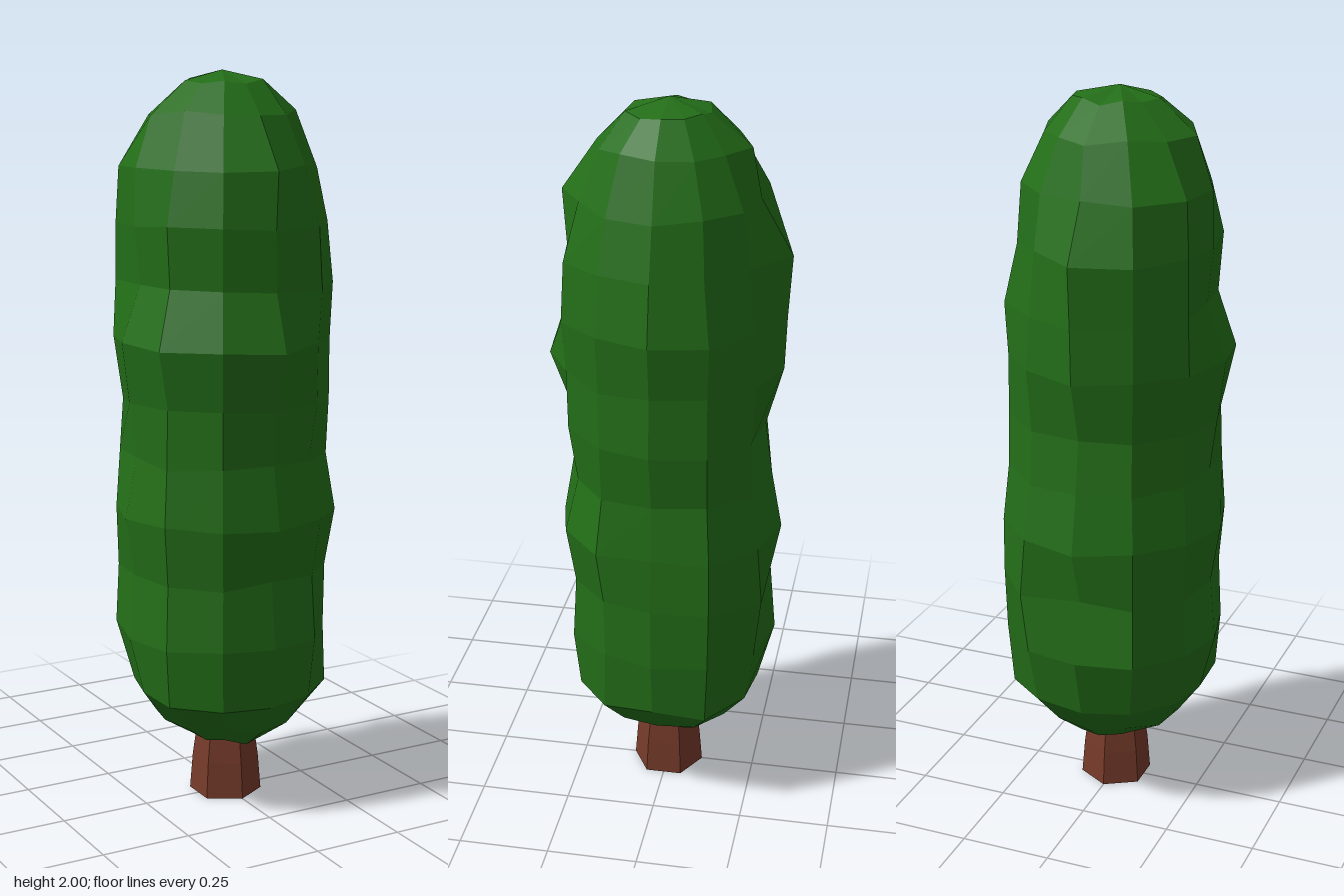
import * as THREE from 'three';

const SIDES = 12;

// Foliage rings from bottom to top: [y, then reach every 45 degrees from +z through +x, -z and -x]
const RINGS = [
  [0.175, 0.12, 0.10, 0.10, 0.12, 0.13, 0.10, 0.10, 0.10],
  [0.235, 0.205, 0.20, 0.19, 0.21, 0.20, 0.19, 0.19, 0.18],
  [0.32, 0.255, 0.27, 0.255, 0.285, 0.26, 0.26, 0.255, 0.28],
  [0.49, 0.275, 0.28, 0.28, 0.30, 0.305, 0.305, 0.295, 0.30],
  [0.66, 0.255, 0.28, 0.28, 0.32, 0.265, 0.305, 0.28, 0.285],
  [0.82, 0.295, 0.305, 0.27, 0.305, 0.315, 0.30, 0.305, 0.305],
  [0.98, 0.265, 0.265, 0.26, 0.295, 0.285, 0.28, 0.27, 0.295],
  [1.13, 0.265, 0.29, 0.295, 0.285, 0.265, 0.285, 0.29, 0.295],
  [1.29, 0.325, 0.285, 0.285, 0.29, 0.31, 0.30, 0.31, 0.33],
  [1.44, 0.275, 0.295, 0.305, 0.29, 0.315, 0.295, 0.255, 0.285],
  [1.6, 0.27, 0.28, 0.275, 0.27, 0.325, 0.285, 0.27, 0.28],
  [1.75, 0.28, 0.24, 0.235, 0.25, 0.24, 0.28, 0.265, 0.245],
  [1.89, 0.185, 0.19, 0.19, 0.18, 0.215, 0.20, 0.22, 0.195],
  [1.97, 0.11, 0.11, 0.11, 0.11, 0.11, 0.11, 0.12, 0.115],
];

function seeded(seed) {
  return () => {
    seed = (seed * 16807) % 2147483647;
    return seed / 2147483647;
  };
}

// Twelve points per ring: three on each quarter, the two between the axes slightly jittered
function ringPoints([y, ...reach], random) {
  const spread = y > 0.3 && y < 1.8 ? 0.02 : 0.01;
  return Array.from({ length: SIDES }, (_, j) => {
    const angle = (j / SIDES) * Math.PI * 2;
    const quarter = Math.floor(j / 3);
    const onAxis = j % 3 === 0;
    const r = reach[quarter * 2 + (onAxis ? 0 : 1)] + (onAxis ? 0 : (random() - 0.5) * spread);
    const lift = (random() - 0.5) * 0.015;
    return new THREE.Vector3(Math.sin(angle) * r, y + lift, Math.cos(angle) * r);
  });
}

// Lumpy closed column whose four-cornered facets are each shaded as one flat face
function foliageGeometry() {
  const random = seeded(41);
  const rings = RINGS.map((ring) => ringPoints(ring, random));
  const apex = new THREE.Vector3(-0.01, 2, 0);
  const base = new THREE.Vector3(0, 0.19, 0);
  const positions = [];
  const normals = [];

  // Corners run counter-clockwise; the crossed diagonals give the facet's average normal
  const facet = (a, b, c, d) => {
    const normal = c.clone().sub(a).cross(d.clone().sub(b)).normalize();
    const corners = c === d ? [a, b, c] : [a, b, c, a, c, d];
    for (const p of corners) {
      positions.push(p.x, p.y, p.z);
      normals.push(normal.x, normal.y, normal.z);
    }
  };

  const first = rings[0];
  const last = rings[rings.length - 1];
  for (let j = 0; j < SIDES; j++) {
    const k = (j + 1) % SIDES;
    for (let i = 0; i < rings.length - 1; i++) {
      facet(rings[i][j], rings[i][k], rings[i + 1][k], rings[i + 1][j]);
    }
    facet(last[j], last[k], apex, apex);
    facet(first[k], first[j], base, base);
  }
  const geometry = new THREE.BufferGeometry();
  geometry.setAttribute('position', new THREE.Float32BufferAttribute(positions, 3));
  geometry.setAttribute('normal', new THREE.Float32BufferAttribute(normals, 3));
  return geometry;
}

// Six-sided trunk, flared towards the ground
function trunkGeometry() {
  const profile = [[0, 0], [0.1, 0], [0.092, 0.1], [0.078, 0.2], [0.07, 0.26], [0, 0.26]];
  return new THREE.LatheGeometry(profile.map(([r, y]) => new THREE.Vector2(r, y)), 6);
}

export function createModel() {
  const tree = new THREE.Group();
  tree.name = 'columnarTree';

  const trunk = new THREE.Mesh(
    trunkGeometry(),
    new THREE.MeshStandardMaterial({ color: 0x753a2a, flatShading: true }),
  );
  trunk.name = 'trunk';

  const foliage = new THREE.Mesh(
    foliageGeometry(),
    new THREE.MeshStandardMaterial({ color: 0x236e18 }),
  );
  foliage.name = 'foliage';

  tree.add(trunk, foliage);
  return tree;
}
